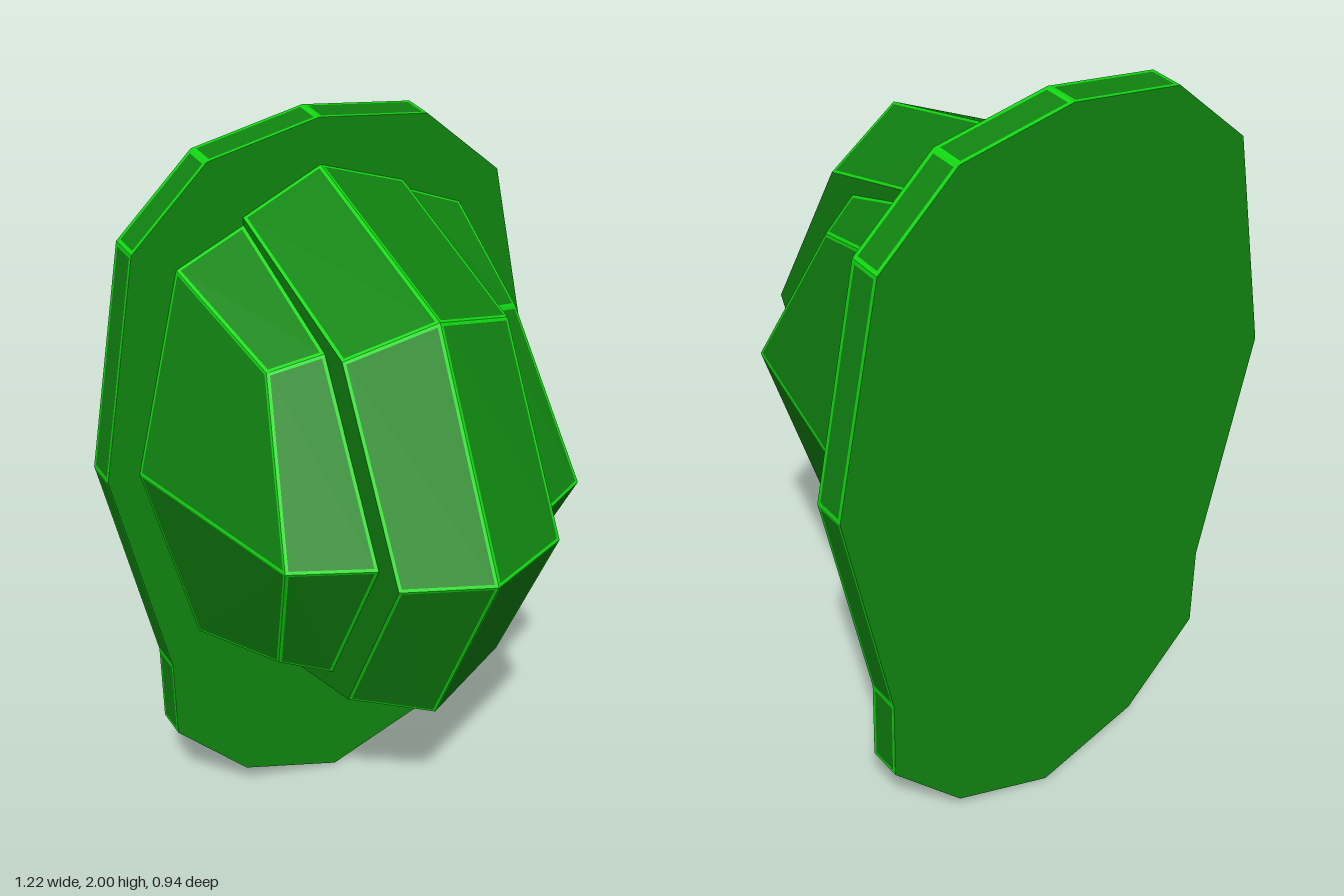
import * as THREE from 'three';

const green = new THREE.MeshStandardMaterial({ color: 0x118611 });
green.name = 'green';
const edgeGreen = new THREE.MeshStandardMaterial({ color: 0x12dc12 });
edgeGreen.name = 'bright edge green';

const CENTRE = new THREE.Vector3(0, 1.165, -0.425);

// Flat-shaded mesh from a list of four-cornered faces
function quadMesh(name, quads, material) {
  const pos = [];
  for (const [a, b, c, d] of quads) {
    for (const p of [a, b, c, a, c, d]) pos.push(p.x, p.y, p.z);
  }
  const geo = new THREE.BufferGeometry();
  geo.setAttribute('position', new THREE.Float32BufferAttribute(pos, 3));
  geo.computeVertexNormals();
  const mesh = new THREE.Mesh(geo, material);
  mesh.name = name;
  return mesh;
}

// Turn a face so that it looks away from the centre
function faceOutward(q) {
  const normal = q[2].clone().sub(q[0]).cross(q[3].clone().sub(q[1]));
  const mid = q.reduce((s, p) => s.add(p), new THREE.Vector3()).multiplyScalar(0.25);
  return normal.dot(mid.sub(CENTRE)) < 0 ? q.slice().reverse() : q;
}

// Corner points moved inward by an even border width
function inset(q, w) {
  return q.map((p, i) => {
    const u = q[(i + 1) % 4].clone().sub(p).normalize();
    const v = q[(i + 3) % 4].clone().sub(p).normalize();
    const sine = u.clone().cross(v).length();
    return p.clone().addScaledVector(u.add(v), w / sine);
  });
}

// Panels with a narrow bright border along their edges
function borderedPanels(name, quads, w) {
  const group = new THREE.Group();
  group.name = name;
  const inner = [], border = [];
  for (const raw of quads) {
    const q = faceOutward(raw), n = inset(q, w);
    inner.push(n);
    for (let i = 0; i < 4; i++) {
      const j = (i + 1) % 4;
      border.push([q[i], q[j], n[j], n[i]]);
    }
  }
  group.add(quadMesh(name + 'Faces', inner, green), quadMesh(name + 'Edges', border, edgeGreen));
  return group;
}

// Faces joining two rows of points
function strip(a, b) {
  return a.slice(1).map((p, i) => [a[i], p, b[i + 1], b[i]]);
}

export function createModel() {
  const model = new THREE.Group();
  model.name = 'domedShield';

  // Back plate: flat outline with a thin bordered rim
  const half = [[0, 2], [0.295, 1.95], [0.5, 1.76], [0.61, 1.165],
    [0.478, 0.54], [0.478, 0.31], [0.28, 0.1], [0, 0]];
  const outline = [...half, ...half.slice(1, -1).reverse().map(([x, y]) => [-x, y])]
    .map(([x, y]) => new THREE.Vector2(x, y));
  const zFront = -0.38, zBack = -0.47;
  const plate = new THREE.Group();
  plate.name = 'backPlate';
  const cap = new THREE.ShapeGeometry(new THREE.Shape(outline));
  const front = new THREE.Mesh(cap, green);
  front.name = 'plateFront';
  front.position.z = zFront;
  const backShape = new THREE.Shape(outline.map(p => new THREE.Vector2(-p.x, p.y)));
  const back = new THREE.Mesh(new THREE.ShapeGeometry(backShape), green);
  back.name = 'plateBack';
  back.position.z = zBack;
  back.rotation.y = Math.PI;
  const rim = outline.map((p, i) => {
    const q = outline[(i + 1) % outline.length];
    return [new THREE.Vector3(p.x, p.y, zFront), new THREE.Vector3(q.x, q.y, zFront),
      new THREE.Vector3(q.x, q.y, zBack), new THREE.Vector3(p.x, p.y, zBack)];
  });
  plate.add(front, back, borderedPanels('plateRim', rim, 0.01));
  model.add(plate);

  // Dome: raised middle band, a step down, then side panels and cheeks
  for (const side of [1, -1]) {
    const column = rows => rows.map(([x, y, z]) => new THREE.Vector3(side * x, y, z));
    const e = side > 0 ? 0.227 : 0.21;
    const ridge = column([[0, 1.88, -0.38], [0, 1.72, 0.19], [0, 1.165, 0.47],
      [0, 0.6, 0.19], [0, 0.49, -0.38]]);
    const bandEdge = column([[e, 1.79, -0.38], [e, 1.64, 0.115], [e, 1.165, 0.375],
      [e, 0.67, 0.115], [e, 0.53, -0.38]]);
    const stepFoot = column([[e, 1.77, -0.38], [e, 1.62, 0.03], [e, 1.165, 0.28],
      [e, 0.7, 0.03], [e, 0.55, -0.38]]);
    const corner = column([[0.39, 1.695, -0.38], [0.335, 1.58, -0.02], [0.405, 1.165, 0.185],
      [0.335, 0.745, -0.02], [0.395, 0.63, -0.38]]);
    const base = column([[0.525, 1.165, -0.38]])[0];
    const cheeks = [[corner[0], corner[1], corner[2], base],
      [corner[4], corner[3], corner[2], base]];

    const dome = new THREE.Group();
    dome.name = side > 0 ? 'domeLeft' : 'domeRight';
    dome.add(
      borderedPanels('middleBand', strip(ridge, bandEdge), 0.008),
      quadMesh('bandStep', strip(bandEdge, stepFoot).map(faceOutward), green),
      borderedPanels('sidePanel', strip(stepFoot, corner), 0.008),
      borderedPanels('cheek', cheeks, 0.007)
    );
    model.add(dome);
  }
  return model;
}
